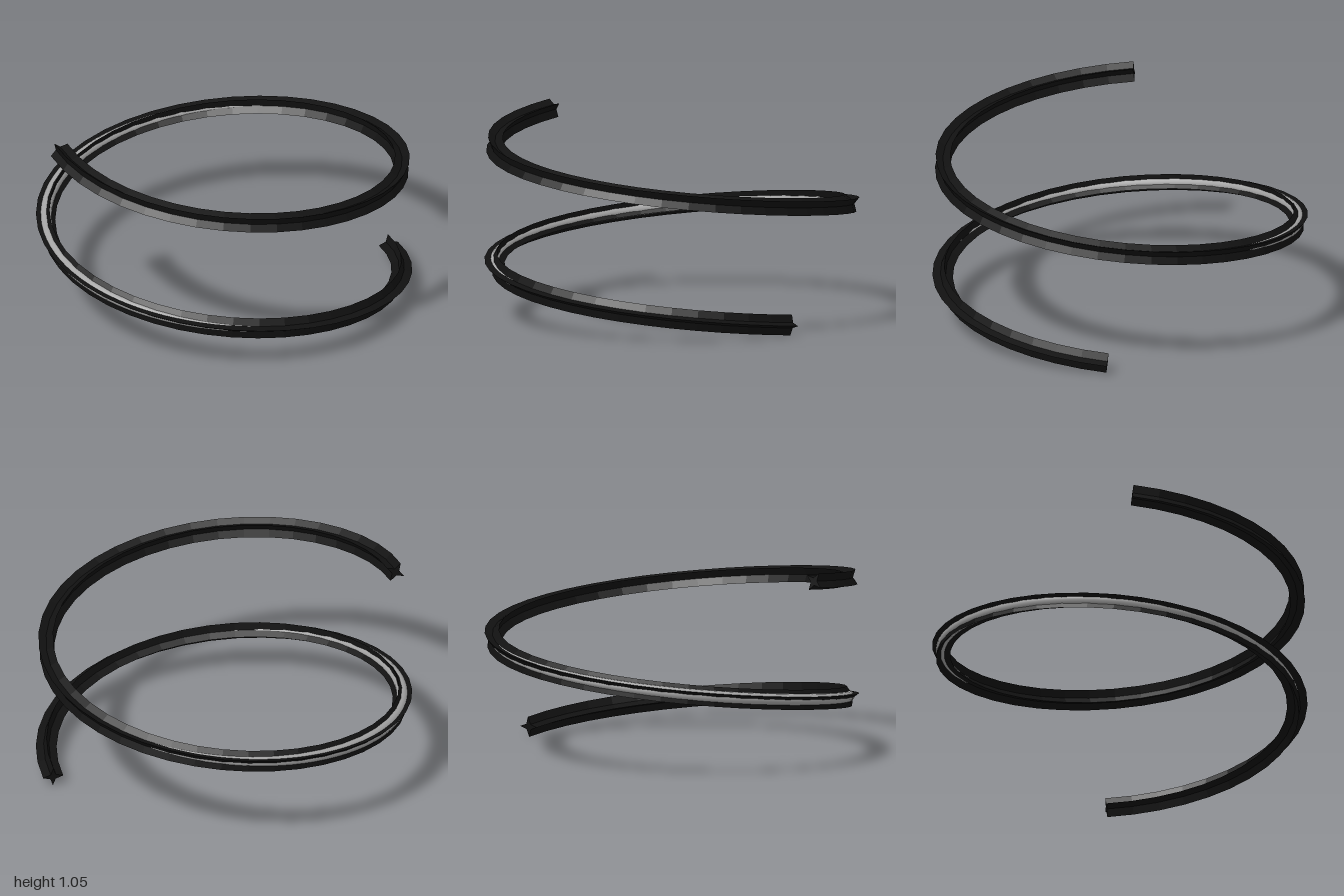
import * as THREE from 'three';

const RADIUS = 0.945, BASE = 0.055, RISE = 0.95 / (3 * Math.PI);

// Rising helix between two angles
class Helix extends THREE.Curve {
  constructor(from, to) {
    super();
    this.from = from;
    this.to = to;
  }
  getPoint(t, target = new THREE.Vector3()) {
    const a = this.from + (this.to - this.from) * t;
    return target.set(RADIUS * Math.cos(a), BASE + RISE * a, RADIUS * Math.sin(a));
  }
}

// Four-pointed star section
function starShape(tip, valley) {
  const points = [];
  for (let i = 0; i < 8; i++) {
    const r = i % 2 ? valley : tip, a = i * Math.PI / 4;
    points.push(new THREE.Vector2(r * Math.cos(a), r * Math.sin(a)));
  }
  return new THREE.Shape(points);
}

// Round core that swells in the middle and tapers into the ribs at both ends
function coreGeometry(curve, steps, thin, thick) {
  const sides = 12;
  const geometry = new THREE.TubeGeometry(curve, steps, thin, sides, false);
  const pos = geometry.attributes.position, nor = geometry.attributes.normal;
  const v = new THREE.Vector3(), n = new THREE.Vector3();
  for (let i = 0; i < pos.count; i++) {
    const t = Math.floor(i / (sides + 1)) / steps;
    const r = thin + (thick - thin) * Math.pow(Math.sin(Math.PI * t), 0.7);
    n.fromBufferAttribute(nor, i);
    v.copy(curve.getPointAt(t)).addScaledVector(n, r);
    pos.setXYZ(i, v.x, v.y, v.z);
  }
  return geometry;
}

export function createModel() {
  const black = new THREE.MeshStandardMaterial({ color: 0x111111 });
  black.name = 'black';
  const grey = new THREE.MeshStandardMaterial({ color: 0xa4a4a4 });
  grey.name = 'grey';

  const group = new THREE.Group();
  group.name = 'helicalCoil';

  // One and a half turns of ribbed strand
  const strand = new THREE.Mesh(new THREE.ExtrudeGeometry(starShape(0.055, 0.02), {
    steps: 64, bevelEnabled: false, extrudePath: new Helix(0, 3 * Math.PI),
  }), black);
  strand.name = 'ribbedStrand';

  // Core showing between the ribs of the lower turn
  const deg = Math.PI / 180;
  const core = new THREE.Mesh(coreGeometry(new Helix(88 * deg, 328 * deg), 60, 0.012, 0.033), grey);
  core.name = 'innerCore';

  group.add(strand, core);
  return group;
}
